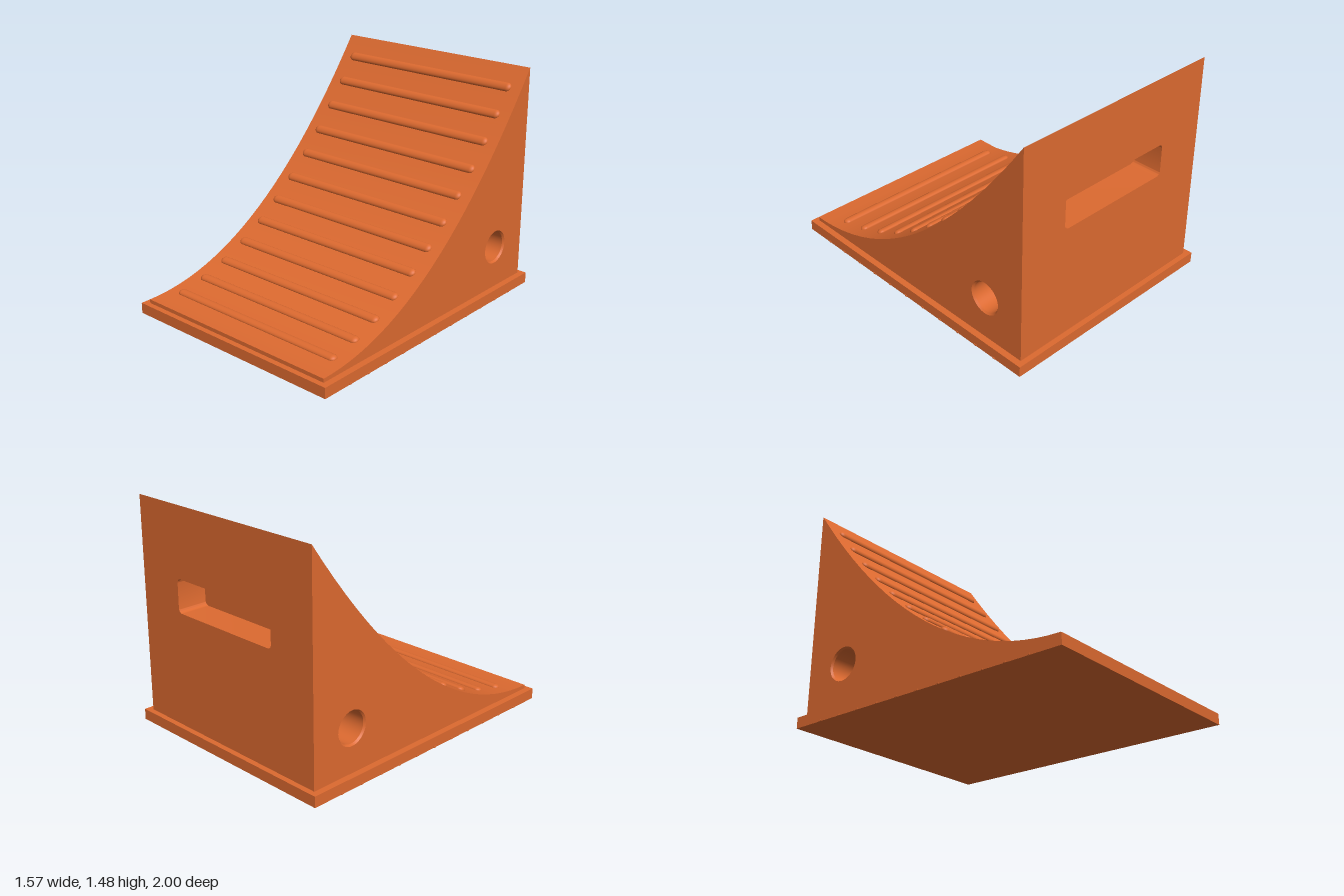
import * as THREE from 'three';
import { toCreasedNormals } from 'three/addons/utils/BufferGeometryUtils.js';

const W = 0.74, Z = 0.965;           // half width and half length of the wedge
const BASE = 0.07, LIP = 0.095;      // top of the base, front edge of the ramp
const CURVE = 0.3705;
const SEGMENTS = 24;

const rampY = (z) => LIP + CURVE * (Z - z) ** 2;

// Rounded rectangle centred on (0, cy)
function roundedRect(path, w, h, cy, r) {
  const x = w / 2, b = cy - h / 2, t = cy + h / 2;
  path.moveTo(-x + r, b);
  path.lineTo(x - r, b).absarc(x - r, b + r, r, -Math.PI / 2, 0);
  path.lineTo(x, t - r).absarc(x - r, t - r, r, 0, Math.PI / 2);
  path.lineTo(-x + r, t).absarc(-x + r, t - r, r, Math.PI / 2, Math.PI);
  path.lineTo(-x, b + r).absarc(-x + r, b + r, r, Math.PI, Math.PI * 1.5);
  return path;
}

export function createModel() {
  const group = new THREE.Group();
  const orange = new THREE.MeshStandardMaterial({ color: 0xdd6a30 });
  orange.name = 'orange';

  const add = (name, geometry, x = 0, y = 0, z = 0) => {
    const mesh = new THREE.Mesh(geometry, orange);
    mesh.name = name;
    mesh.position.set(x, y, z);
    group.add(mesh);
    return mesh;
  };

  // Base slab with small grip bars poking out along its lower edges
  add('base', new THREE.BoxGeometry(1.564, BASE, 2), 0, BASE / 2, 0);
  const bar = new THREE.BoxGeometry(1.572, 0.009, 0.018);
  for (let i = -5; i <= 5; i++) add('gripBar', bar, 0, 0.0055, i * 0.158);

  // Curved ramp surface and its front lip
  const ramp = new THREE.PlaneGeometry(W * 2, Z * 2, 1, SEGMENTS).rotateX(-Math.PI / 2);
  const pos = ramp.attributes.position;
  for (let i = 0; i < pos.count; i++) pos.setY(i, rampY(pos.getZ(i)));
  ramp.computeVertexNormals();
  add('ramp', ramp);
  add('frontLip', new THREE.PlaneGeometry(W * 2, LIP - BASE), 0, (LIP + BASE) / 2, Z);

  // Side walls with a round opening
  const holeZ = -0.67, holeY = 0.35, holeR = 0.11;
  for (const s of [1, -1]) {
    const shape = new THREE.Shape();
    shape.moveTo(-s * Z, BASE);
    for (let i = 0; i <= SEGMENTS; i++) {
      const z = Z - (2 * Z * i) / SEGMENTS;
      shape.lineTo(-s * z, rampY(z));
    }
    shape.lineTo(s * Z, BASE);
    shape.holes.push(new THREE.Path().absarc(-s * holeZ, holeY, holeR, 0, Math.PI * 2, true));
    const side = new THREE.ShapeGeometry(shape, 24).rotateY(s * Math.PI / 2);
    add(s > 0 ? 'leftSide' : 'rightSide', side, s * W, 0, 0);
  }

  // Chamfered tunnel through the wedge, facing inward
  const tunnel = new THREE.LatheGeometry([
    new THREE.Vector2(holeR, W), new THREE.Vector2(0.1, W - 0.012),
    new THREE.Vector2(0.1, -W + 0.012), new THREE.Vector2(holeR, -W),
  ], 48).rotateZ(Math.PI / 2);
  add('ropeHole', toCreasedNormals(tunnel, 0.5), 0, holeY, holeZ);

  // Back wall with a handle slot
  const slotW = 0.82, slotH = 0.215, slotY = 0.917, slotR = 0.03, depth = 0.2;
  const top = rampY(-Z);
  const back = new THREE.Shape([
    new THREE.Vector2(-W, BASE), new THREE.Vector2(W, BASE),
    new THREE.Vector2(W, top), new THREE.Vector2(-W, top),
  ]);
  back.holes.push(roundedRect(new THREE.Path(), slotW, slotH, slotY, slotR));
  add('backWall', new THREE.ShapeGeometry(back, 8).rotateY(Math.PI), 0, 0, -Z);

  // Recess lining and its inner wall
  const lining = roundedRect(new THREE.Shape(), slotW + 0.03, slotH + 0.03, slotY, slotR);
  lining.holes.push(roundedRect(new THREE.Path(), slotW, slotH, slotY, slotR));
  const liningGeometry = new THREE.ExtrudeGeometry(lining, { depth, bevelEnabled: false, curveSegments: 8 });
  add('handleRecess', toCreasedNormals(liningGeometry, 0.6), 0, 0, -Z + 0.001);
  add('handleRecessWall', new THREE.PlaneGeometry(slotW + 0.02, slotH + 0.02).rotateY(Math.PI),
    0, slotY, -Z + depth);

  // Rounded tread ribs lying along the ramp
  const rib = new THREE.CapsuleGeometry(0.03, 1.27, 6, 16).rotateZ(Math.PI / 2).scale(1, 0.65, 1);
  const ribZ = [0.778, 0.59, 0.41, 0.235, 0.07, -0.083, -0.23, -0.375, -0.508, -0.638, -0.76, -0.875];
  for (const z of ribZ) {
    add('treadRib', rib, 0, rampY(z), z).rotation.x = Math.atan(2 * CURVE * (Z - z));
  }

  return group;
}
